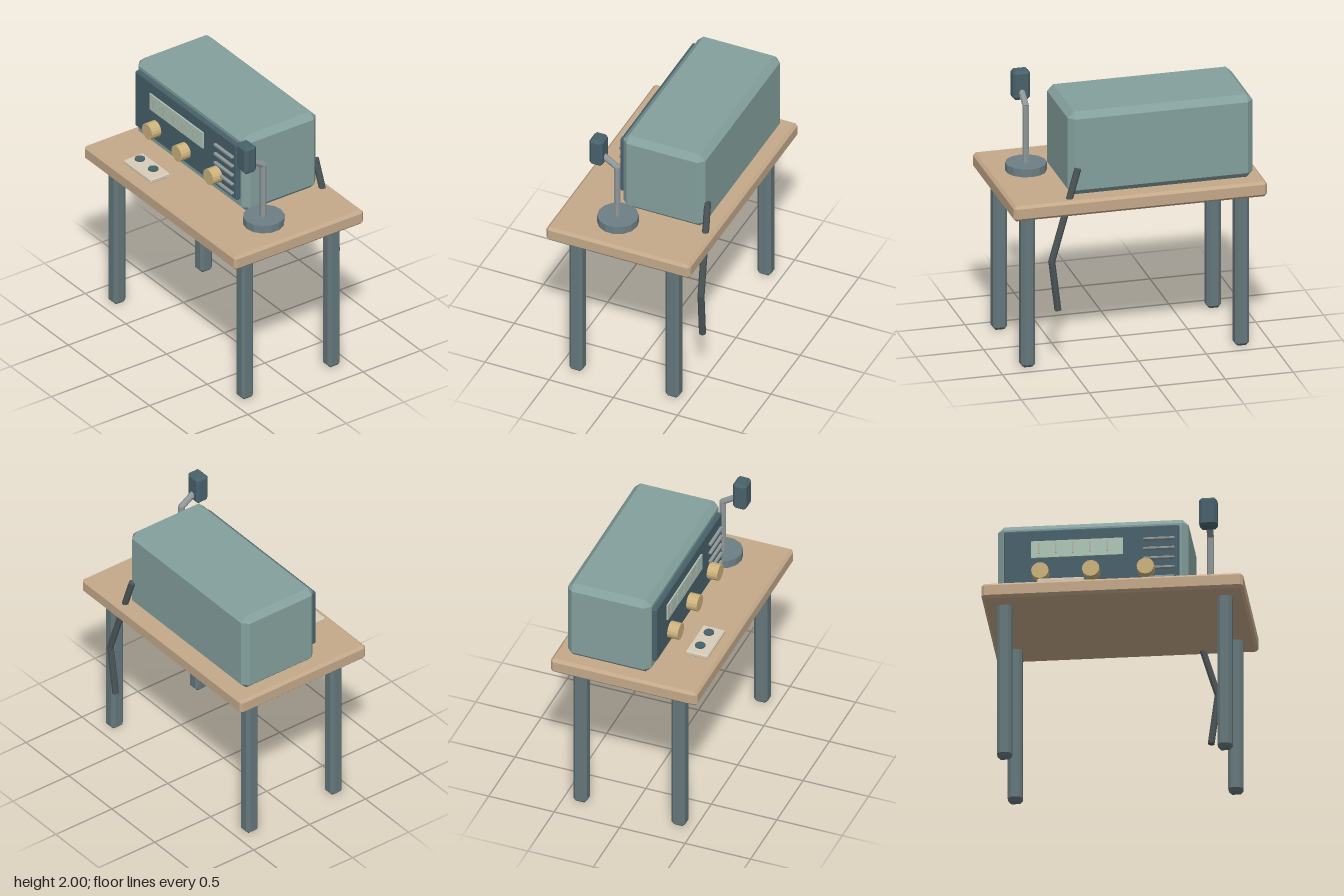
import * as THREE from 'three';
import { ConvexGeometry } from 'three/addons/geometries/ConvexGeometry.js';

const mat = (color) => new THREE.MeshStandardMaterial({ color, flatShading: true });
const wood = mat(0xc4a98a), legGrey = mat(0x64777b), shell = mat(0x84a09d), dark = mat(0x48616a);
const glass = mat(0xafc6b8), brass = mat(0xcdb27c), steel = mat(0x8f9799), ivory = mat(0xd8ccb8);
const cableGrey = mat(0x4b5556), baseGrey = mat(0x6c7f86), tickTan = mat(0xb8b0a2);

export function createModel() {
  const model = new THREE.Group();

  const add = (name, geometry, material) => {
    const mesh = new THREE.Mesh(geometry, material);
    mesh.name = name;
    model.add(mesh);
    return mesh;
  };

  // Box between two corners with all edges cut by the chamfer c
  const block = (name, min, max, c, material) => {
    const half = min.map((v, i) => (max[i] - v) / 2);
    const points = [];
    for (const sx of [-1, 1]) for (const sy of [-1, 1]) for (const sz of [-1, 1]) {
      for (let axis = 0; axis < 3; axis++) {
        const p = half.map((h, i) => (i === axis ? h : h - c));
        points.push(new THREE.Vector3(sx * p[0], sy * p[1], sz * p[2]));
      }
    }
    const geometry = c > 0
      ? new ConvexGeometry(points)
      : new THREE.BoxGeometry(...half.map((h) => 2 * h));
    add(name, geometry, material).position.set(...min.map((v, i) => v + half[i]));
  };

  // Straight cylinder between two points
  const rod = (name, from, to, radius, sides, material) => {
    const a = new THREE.Vector3(...from), b = new THREE.Vector3(...to);
    const dir = b.clone().sub(a);
    const mesh = add(name, new THREE.CylinderGeometry(radius, radius, dir.length(), sides), material);
    mesh.position.copy(a).add(b).multiplyScalar(0.5);
    mesh.quaternion.setFromUnitVectors(new THREE.Vector3(0, 1, 0), dir.normalize());
  };

  // Table
  block('tableTop', [-0.935, 1.175, -0.56], [0.93, 1.29, 0.56], 0.02, wood);
  for (const x of [-0.787, 0.785]) for (const z of [-0.375, 0.375]) {
    block('tableLeg', [x - 0.052, 0, z - 0.052], [x + 0.052, 1.2, z + 0.052], 0.022, legGrey);
  }

  // Radio cabinet and front panel
  block('cabinet', [-0.86, 1.29, -0.47], [0.5, 1.92, 0.17], 0.045, shell);
  block('frontPanel', [-0.81, 1.39, 0.155], [0.44, 1.85, 0.205], 0.01, dark);

  // Tuning dial with scale marks
  block('dialWindow', [-0.615, 1.63, 0.195], [0.04, 1.76, 0.216], 0, glass);
  for (let i = 0; i < 5; i++) {
    const x = -0.56 + i * 0.122;
    block('dialMark', [x - 0.005, 1.66, 0.21], [x + 0.005, 1.74, 0.222], 0, tickTan);
  }

  // Knobs
  for (const x of [-0.545, -0.183, 0.207]) {
    rod('knob', [x, 1.5, 0.205], [x, 1.5, 0.285], 0.062, 16, brass);
  }

  // Speaker slats
  for (let i = 0; i < 5; i++) {
    const y = 1.74 - i * 0.075;
    block('speakerSlat', [0.185, y - 0.01, 0.2], [0.41, y + 0.01, 0.226], 0.004, steel);
  }

  // Key pad with two buttons held just above it
  block('keyPad', [-0.545, 1.305, 0.32], [-0.21, 1.34, 0.49], 0.008, ivory);
  for (const x of [-0.467, -0.302]) {
    rod('padButton', [x, 1.352, 0.402], [x, 1.362, 0.402], 0.037, 14, dark);
  }

  // Desk microphone
  rod('microphoneBase', [0.656, 1.29, 0.12], [0.656, 1.35, 0.12], 0.148, 14, baseGrey);
  rod('microphoneStem', [0.656, 1.34, 0.125], [0.656, 1.78, 0.125], 0.025, 8, steel);
  rod('microphoneArm', [0.656, 1.77, 0.12], [0.656, 1.855, 0.25], 0.024, 8, steel);
  block('microphoneHead', [0.592, 1.78, 0.22], [0.72, 2, 0.322], 0.02, dark);

  // Power cable hanging behind the table
  rod('cableUpper', [0.44, 1.505, -0.48], [0.646, 0.825, -0.522], 0.025, 8, cableGrey);
  rod('cableLower', [0.643, 0.835, -0.52], [0.595, 0.455, -0.51], 0.025, 8, cableGrey);

  return model;
}
